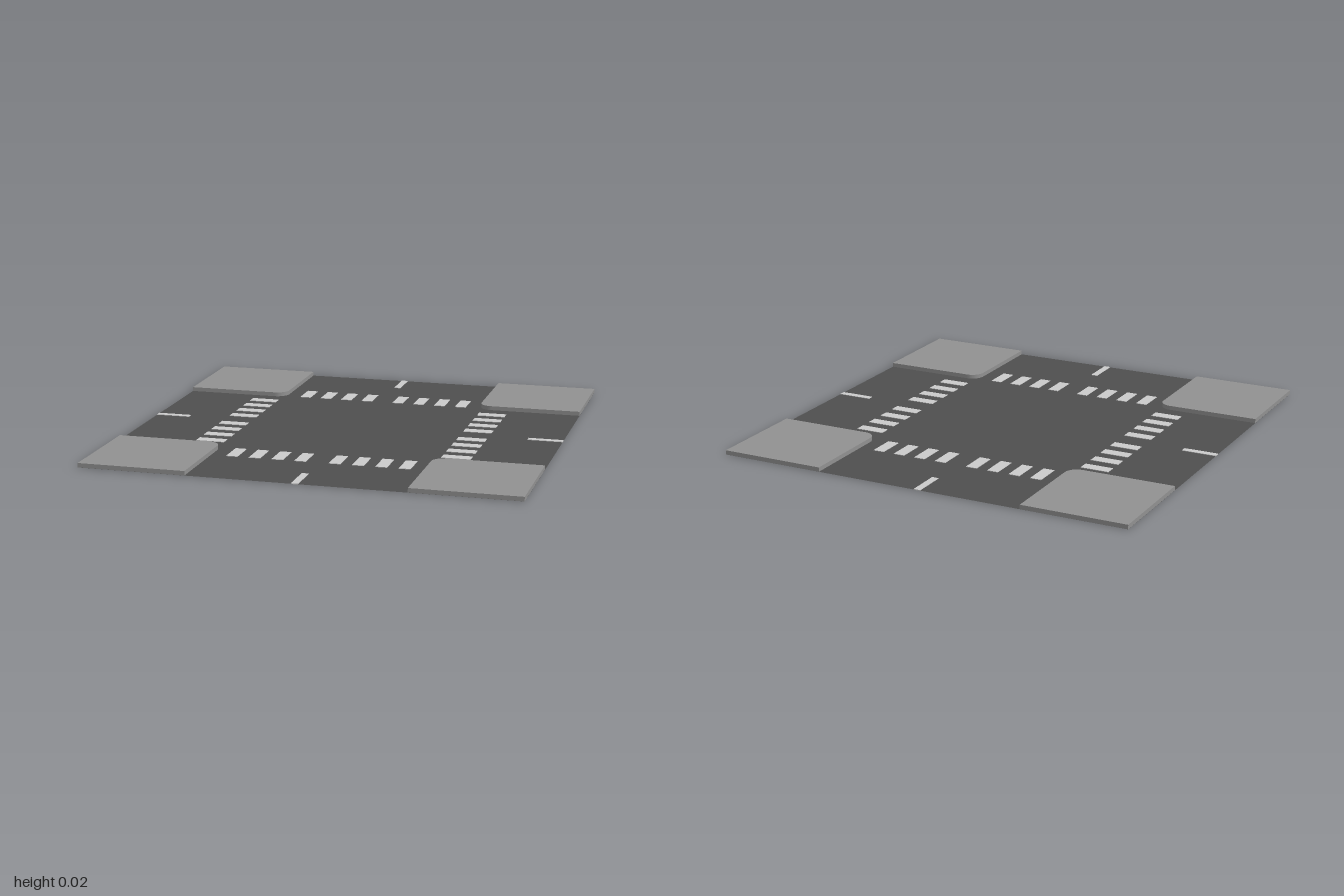
import * as THREE from 'three';

const mat = (color) => new THREE.MeshStandardMaterial({ color, side: THREE.DoubleSide });

export function createModel() {
  const model = new THREE.Group();
  model.name = 'roadCrossing';
  const asphalt = mat(0x4f4f4f);
  const pavement = mat(0x919191);
  const paint = mat(0xcccccc);

  const add = (parent, name, geometry, material) => {
    const mesh = new THREE.Mesh(geometry, material);
    mesh.name = name;
    parent.add(mesh);
    return mesh;
  };

  // Thin road sheet, with the painted markings passing through it
  add(model, 'road', new THREE.PlaneGeometry(2, 2).rotateX(-Math.PI / 2), asphalt).position.y = 0.0015;

  // Corner pavement: a square slab with its inner corner rounded
  const inner = 0.5, radius = 0.06, base = 0.002, top = 0.022;
  const corner = new THREE.Shape();
  corner.moveTo(inner + radius, inner);
  corner.lineTo(1, inner);
  corner.lineTo(1, 1);
  corner.lineTo(inner, 1);
  corner.lineTo(inner, inner + radius);
  corner.absarc(inner + radius, inner + radius, radius, Math.PI, Math.PI * 1.5, false);
  const slab = new THREE.ExtrudeGeometry(corner, { depth: top - base, bevelEnabled: false, curveSegments: 8 });
  slab.rotateX(-Math.PI / 2).translate(0, base, 0);

  // Painted markings
  const paintHeight = 0.004;
  const stripe = new THREE.BoxGeometry(0.053, paintHeight, 0.135);
  const line = new THREE.BoxGeometry(0.032, paintHeight, 0.165);

  // Four identical arms around the centre
  for (let i = 0; i < 4; i++) {
    const arm = new THREE.Group();
    arm.name = 'arm' + (i + 1);
    arm.rotation.y = (i * Math.PI) / 2;
    add(arm, 'pavement', slab, pavement);
    for (const side of [-1, 1]) {
      for (let k = 0; k < 4; k++) {
        add(arm, 'crossingStripe', stripe, paint).position.set(side * (0.08 + k * 0.107), paintHeight / 2, 0.583);
      }
    }
    add(arm, 'centreLine', line, paint).position.set(0, paintHeight / 2, 0.9175);
    model.add(arm);
  }
  return model;
}
